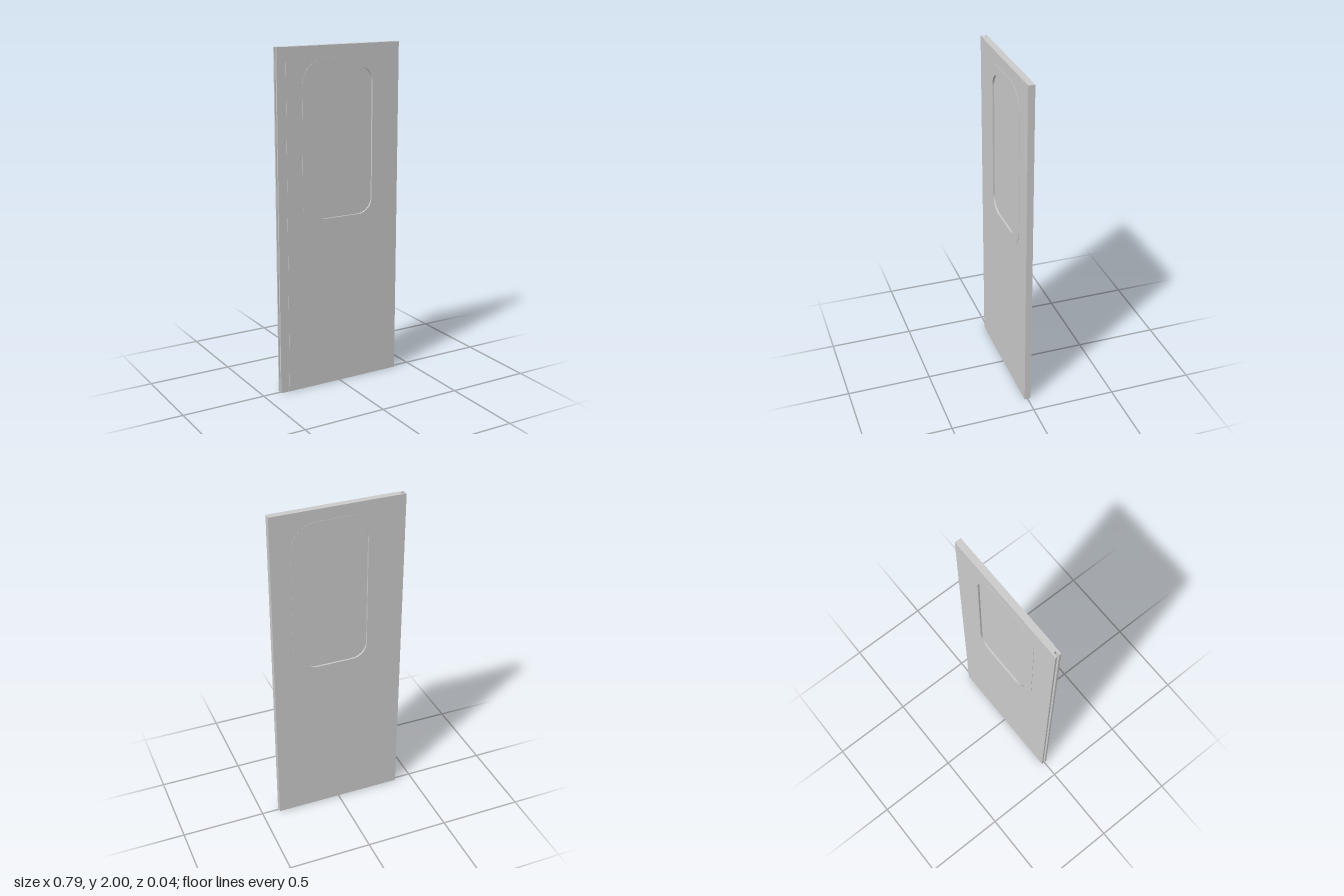
import * as THREE from 'three';

const material = new THREE.MeshStandardMaterial({ color: 0xcccccc });

// Rounded rectangle traced from its edges
function roundedRect(target, x0, x1, y0, y1, r) {
  target.moveTo(x0 + r, y0);
  target.lineTo(x1 - r, y0);
  target.absarc(x1 - r, y0 + r, r, -Math.PI / 2, 0);
  target.lineTo(x1, y1 - r);
  target.absarc(x1 - r, y1 - r, r, 0, Math.PI / 2);
  target.lineTo(x0 + r, y1);
  target.absarc(x0 + r, y1 - r, r, Math.PI / 2, Math.PI);
  target.lineTo(x0, y0 + r);
  target.absarc(x0 + r, y0 + r, r, Math.PI, Math.PI * 1.5);
  return target;
}

const outer = [-0.24, 0.276, 0.95, 1.93, 0.15];
const inner = [-0.175, 0.216, 1.015, 1.87, 0.09];

// Extrude a shape between two depths
function slab(name, shape, z0, z1) {
  const geometry = new THREE.ExtrudeGeometry(shape, { depth: z1 - z0, bevelEnabled: false, curveSegments: 10 });
  geometry.translate(0, 0, z0);
  const mesh = new THREE.Mesh(geometry, material);
  mesh.name = name;
  return mesh;
}

export function createModel() {
  const group = new THREE.Group();
  group.name = 'slidingDoor';

  // Door leaf with the window opening
  const leaf = new THREE.Shape([[-0.338, 0], [0.393, 0], [0.393, 2], [-0.338, 2]].map(p => new THREE.Vector2(...p)));
  leaf.holes.push(roundedRect(new THREE.Path(), ...outer));
  group.add(slab('doorPanel', leaf, -0.0195, 0.0187));

  // Window surround, slightly proud of both faces
  const ring = roundedRect(new THREE.Shape(), ...outer);
  ring.holes.push(roundedRect(new THREE.Path(), ...inner));
  group.add(slab('windowFrame', ring, -0.021, 0.0207));

  // Recessed pane
  group.add(slab('windowPane', roundedRect(new THREE.Shape(), ...inner), -0.01, 0.01));

  // Grooved sealing strip along the edge, drawn in plan and raised to full height
  const plan = [[-0.393, -0.0195], [-0.338, -0.0195], [-0.338, 0.0165], [-0.393, 0.0165],
    [-0.393, 0.005], [-0.367, 0.005], [-0.367, -0.009], [-0.393, -0.009]];
  const strip = slab('sealStrip', new THREE.Shape(plan.map(([x, z]) => new THREE.Vector2(x, -z))), 0, 2);
  strip.geometry.rotateX(-Math.PI / 2);
  group.add(strip);

  return group;
}
